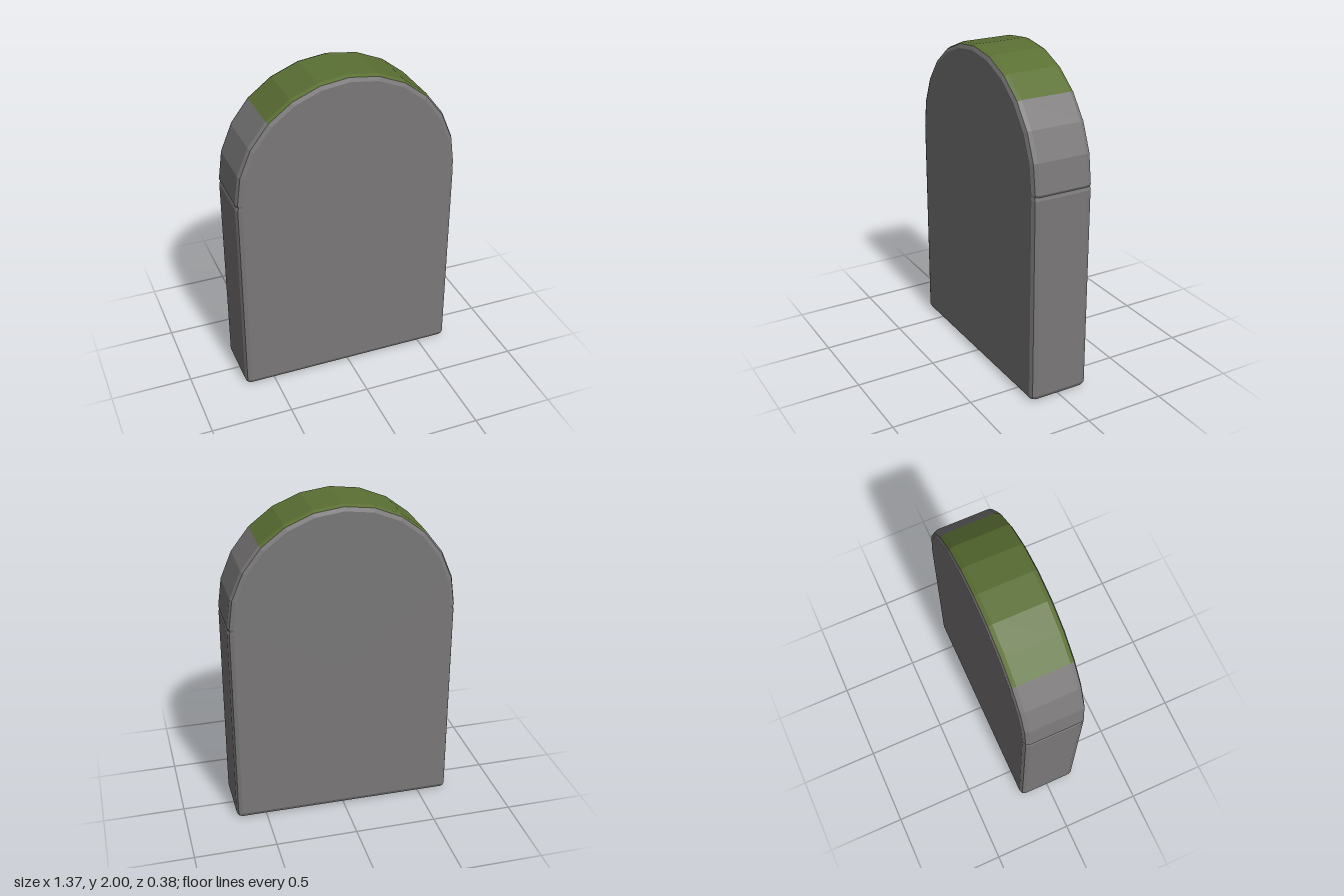
import * as THREE from 'three';

const R = 0.687, SPRING = 1.313, BEVEL = 0.034, ARCH_STEPS = 12;

// Right half is listed as [x, y], inset by d; the left half mirrors it.
function outline(d) {
  const r = Math.max(BEVEL - d, 0.001), right = [], x = R - d;
  // rounded foot corner
  for (let i = 0; i <= 2; i++) {
    const a = -Math.PI / 2 + (i * Math.PI) / 4;
    right.push([R - BEVEL + r * Math.cos(a), BEVEL + r * Math.sin(a)]);
  }
  // shallow seam between block and arch
  right.push([x, SPRING - 0.034], [x - 0.006, SPRING - 0.014]);
  for (let i = 0; i < ARCH_STEPS / 2; i++) {
    const a = (i * Math.PI) / ARCH_STEPS;
    right.push([x * Math.cos(a), SPRING + x * Math.sin(a)]);
  }
  const left = right.map(([px, py]) => [-px, py]).reverse();
  return [...right, [0, SPRING + x], ...left];
}

function makeMesh(name, positions, material) {
  const geometry = new THREE.BufferGeometry();
  geometry.setAttribute('position', new THREE.Float32BufferAttribute(positions, 3));
  geometry.computeVertexNormals(); // unshared corners keep every facet flat
  const mesh = new THREE.Mesh(geometry, material);
  mesh.name = name;
  return mesh;
}

export function createModel() {
  const stone = new THREE.MeshStandardMaterial({ color: 0x7a7879 });
  stone.name = 'grey stone';
  const moss = new THREE.MeshStandardMaterial({ color: 0x5b7034 });
  moss.name = 'moss green';

  // Bevelled slab as rings from back to front: [inset, z]
  const steps = [[0, 0.157], [0.01, 0.181], [BEVEL, 0.191]];
  const sections = [...steps.map(([d, z]) => [d, -z]).reverse(), ...steps];
  const rings = sections.map(([d, z]) => outline(d).map(([x, y]) => [x, y, z]));
  const n = rings[0].length, apex = (n - 1) / 2;
  const stoneFaces = [], mossFaces = [];

  for (let k = 0; k < rings.length - 1; k++) {
    for (let i = 0; i < n; i++) {
      const j = (i + 1) % n, a = rings[k], b = rings[k + 1];
      // moss covers the top quarter of the arch, short of the outermost bevel
      const mossy = k > 0 && k < rings.length - 2 && i >= apex - 3 && i < apex + 3;
      (mossy ? mossFaces : stoneFaces).push(
        ...a[i], ...a[j], ...b[j], ...a[i], ...b[j], ...b[i]);
    }
  }

  // Front and back faces
  const front = rings[rings.length - 1], back = rings[0];
  for (let i = 0; i < n; i++) {
    const j = (i + 1) % n;
    stoneFaces.push(0, 1, front[0][2], ...front[i], ...front[j]);
    stoneFaces.push(0, 1, back[0][2], ...back[j], ...back[i]);
  }

  const group = new THREE.Group();
  group.name = 'gravestone';
  group.add(makeMesh('slab', stoneFaces, stone), makeMesh('mossCap', mossFaces, moss));
  return group;
}
